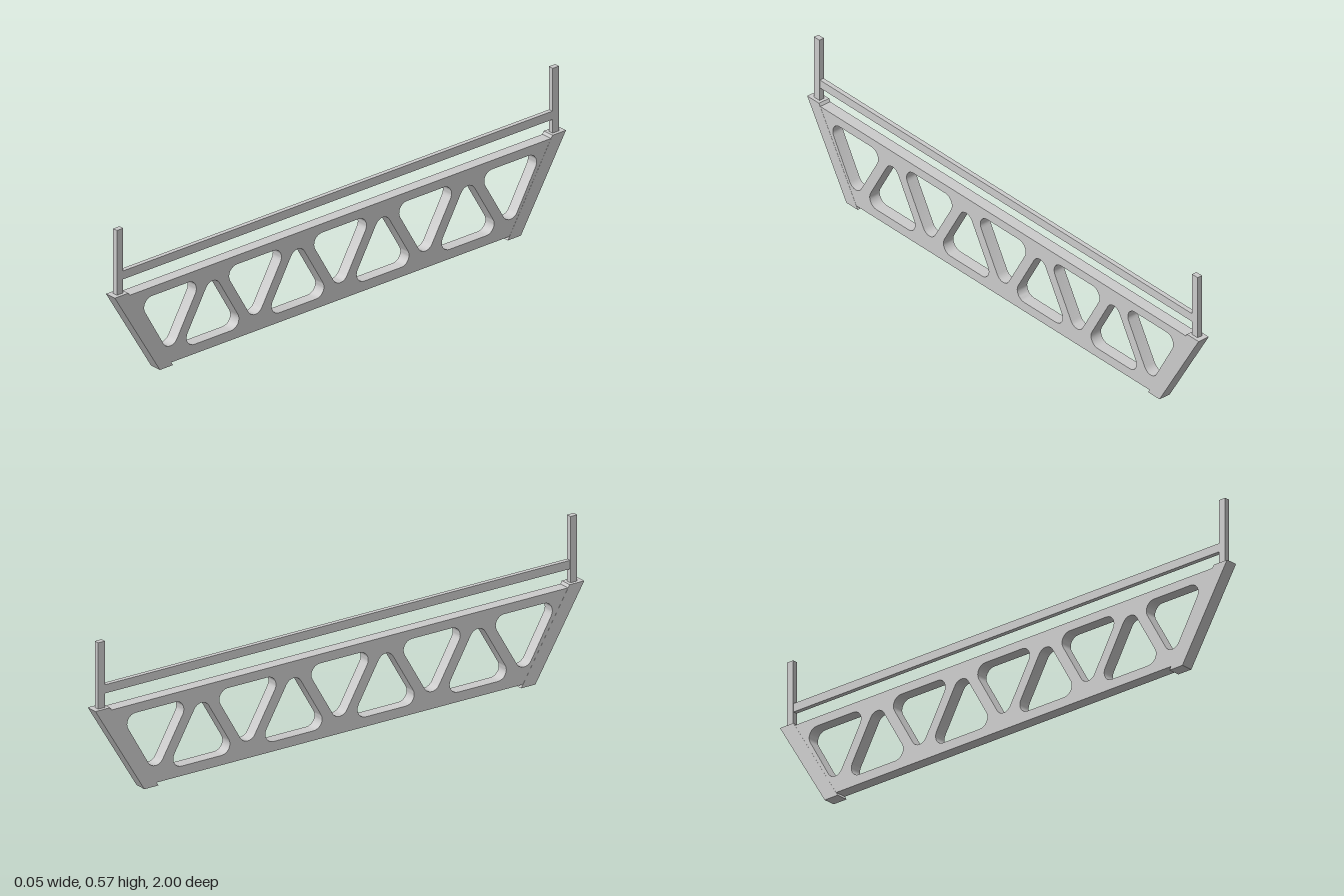
import * as THREE from 'three';
import { toCreasedNormals } from 'three/addons/utils/BufferGeometryUtils.js';

const material = new THREE.MeshStandardMaterial({ color: 0xcccccc });

function addMesh(group, name, geometry, x = 0, y = 0, z = 0) {
  const mesh = new THREE.Mesh(geometry, material);
  mesh.name = name;
  mesh.position.set(x, y, z);
  group.add(mesh);
}

// Extrude a side profile drawn in (z, y), centred across the width in x
function sideExtrude(shape, width) {
  const geo = new THREE.ExtrudeGeometry(shape, { depth: width, bevelEnabled: false });
  geo.translate(0, 0, -width / 2).rotateY(-Math.PI / 2);
  return toCreasedNormals(geo, 0.6);
}

const polygon = (points) => new THREE.Shape(points.map(([z, y]) => new THREE.Vector2(z, y)));

// Equilateral triangular opening with rounded corners; dir = 1 points up, -1 points down
function triangleHole(z, baseY, dir) {
  const r = 0.034, height = 0.244;
  const inset = height / Math.sqrt(3) - r * Math.sqrt(3);
  const corners = [
    [z + inset, baseY + dir * r, -90],
    [z, baseY + dir * (height - 2 * r), 30],
    [z - inset, baseY + dir * r, 150],
  ];
  const points = [];
  for (const [cz, cy, start] of corners) {
    for (let i = 0; i <= 8; i++) {
      const a = THREE.MathUtils.degToRad(start + i * 15);
      points.push(new THREE.Vector2(cz + r * Math.cos(a), cy + dir * r * Math.sin(a)));
    }
  }
  return new THREE.Path(points);
}

export function createModel() {
  const model = new THREE.Group();
  model.name = 'trussBarrier';

  // Truss panel with alternating triangular openings.
  // The outline starts and ends on the short bottom edge so the triangulator sees its full extent.
  const panel = polygon([[0.775, 0.012], [0.96, 0.317], [-0.96, 0.317], [-0.775, 0.012]]);
  const pitch = 0.377;
  for (let i = -2; i <= 2; i++) panel.holes.push(triangleHole(i * pitch, 0.284, -1));
  for (let i = -1.5; i <= 1.5; i++) panel.holes.push(triangleHole(i * pitch, 0.047, 1));
  addMesh(model, 'trussPanel', sideExtrude(panel, 0.044));

  for (const [side, s] of [['front', 1], ['back', -1]]) {
    // Slanted end brace, barely proud of the panel
    const brace = polygon([[0.8 * s, 0], [s, 0.327], [0.94 * s, 0.327], [0.742 * s, 0]]);
    addMesh(model, side + 'EndBrace', sideExtrude(brace, 0.045));
    // Upright post on the brace
    addMesh(model, side + 'Post', new THREE.BoxGeometry(0.02, 0.246, 0.028), 0, 0.443, s * 0.966);
  }

  // Handrail between the posts, slightly slimmer than them
  addMesh(model, 'handrail', new THREE.BoxGeometry(0.017, 0.031, 1.92), 0, 0.392, 0);
  return model;
}
